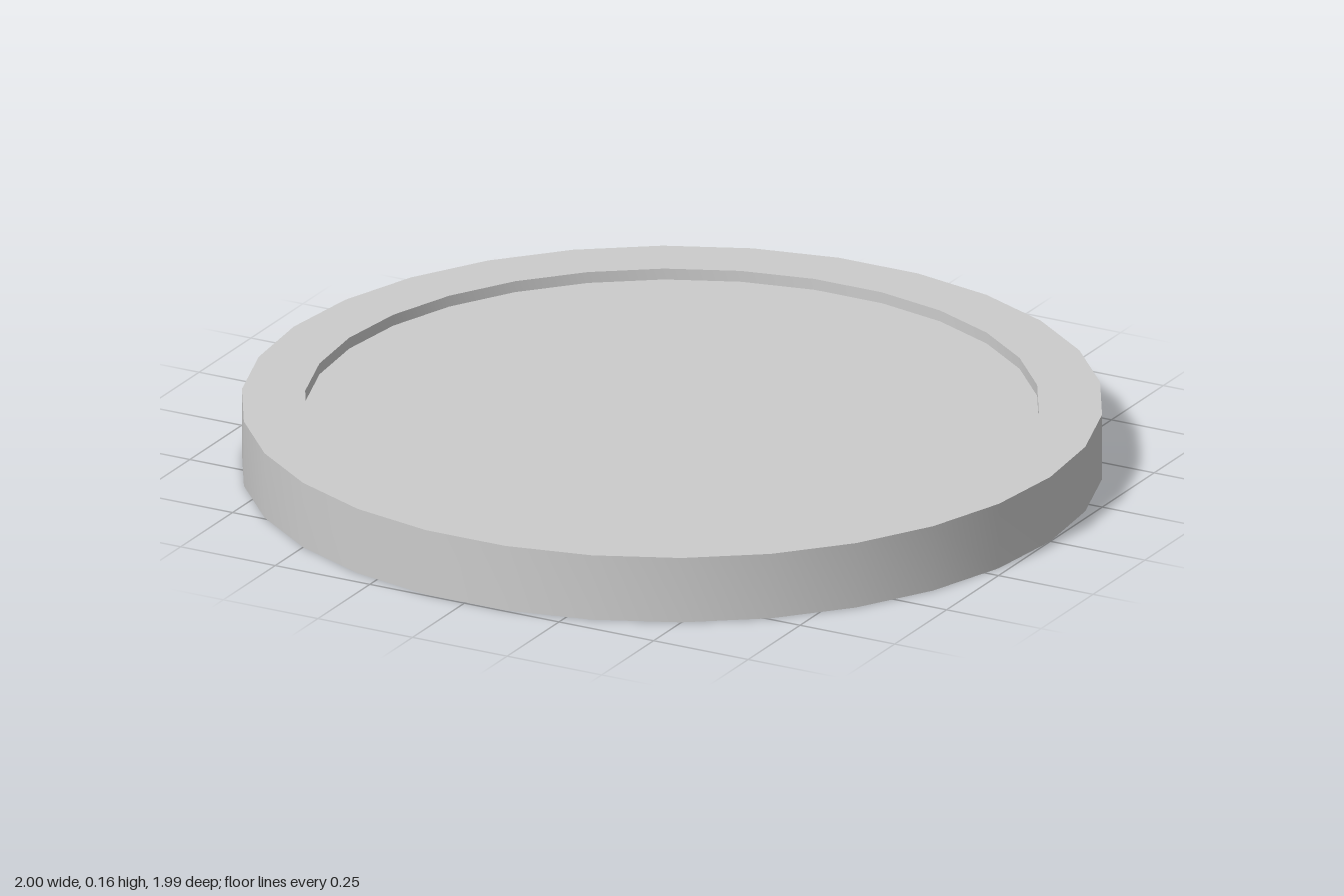
import * as THREE from 'three';
import { toCreasedNormals } from 'three/addons/utils/BufferGeometryUtils.js';

const SIDES = 30;
const HEIGHT = 0.16;
const OUTER = 1;
const INNER = 0.853;
const RECESS = 0.027;

export function createModel() {
  const model = new THREE.Group();
  model.name = 'disc';
  const material = new THREE.MeshStandardMaterial({ color: 0xcccccc });

  const add = (name, geometry) => {
    geometry.rotateY(Math.PI / 2); // puts a corner on the x axis
    const mesh = new THREE.Mesh(toCreasedNormals(geometry, Math.PI / 6), material);
    mesh.name = name;
    model.add(mesh);
  };

  // Raised rim: a rectangular section turned round the y axis
  const section = [
    [INNER, 0], [OUTER, 0], [OUTER, HEIGHT], [INNER, HEIGHT], [INNER, 0],
  ].map(([x, y]) => new THREE.Vector2(x, y));
  add('rim', new THREE.LatheGeometry(section, SIDES));

  // Centre panel, recessed on both faces
  const panel = new THREE.CylinderGeometry(INNER, INNER, HEIGHT - 2 * RECESS, SIDES);
  panel.translate(0, HEIGHT / 2, 0);
  add('centrePanel', panel);

  return model;
}
